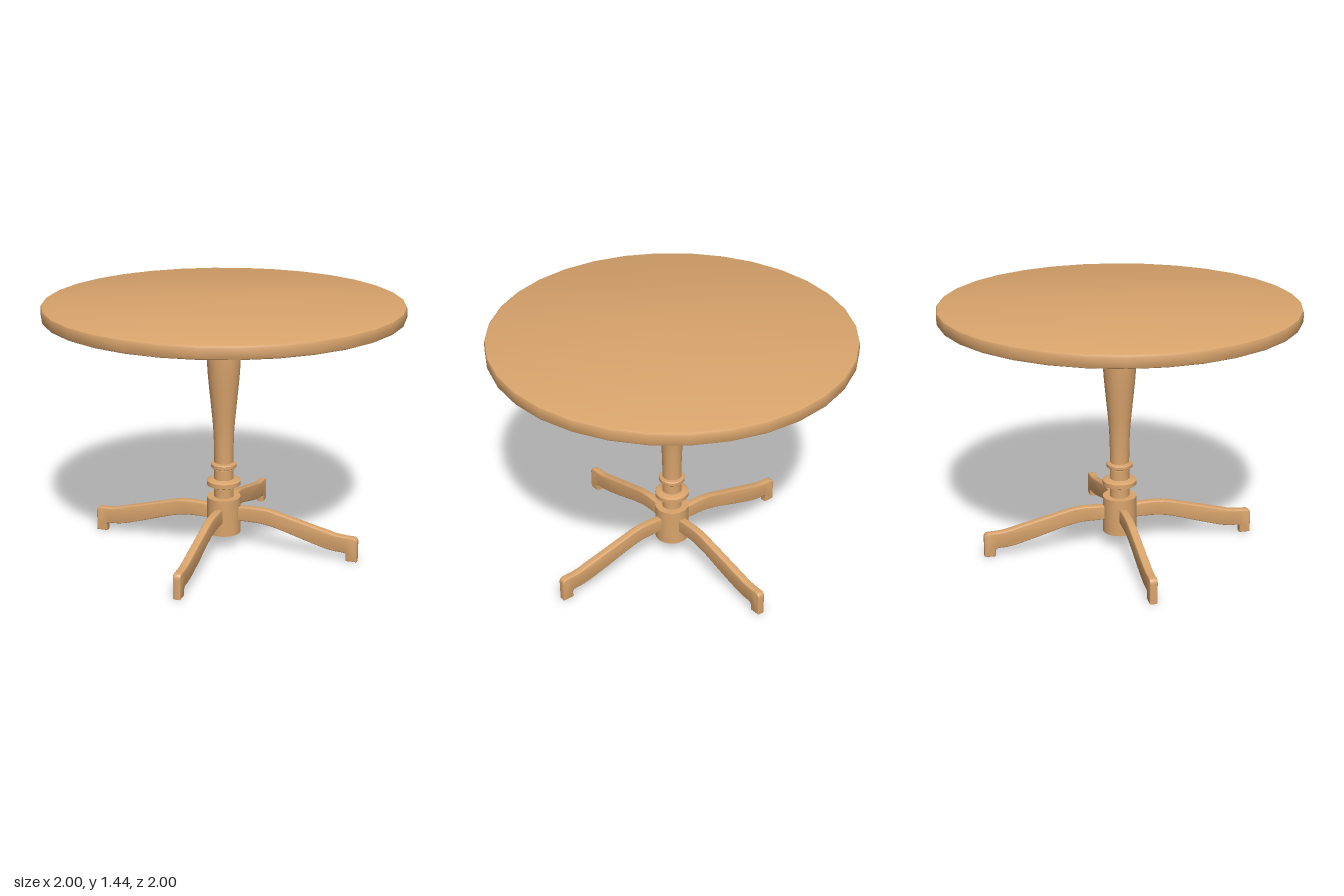
import * as THREE from 'three';
import { toCreasedNormals } from 'three/addons/utils/BufferGeometryUtils.js';

const wood = new THREE.MeshStandardMaterial({ color: 0xd9a46c });

// Turned part from [radius, height] points, listed bottom to top
function turned(name, profile, segments = 32) {
  const points = profile.map(([r, y]) => new THREE.Vector2(r, y));
  const geometry = toCreasedNormals(new THREE.LatheGeometry(points, segments), 0.7);
  const mesh = new THREE.Mesh(geometry, wood);
  mesh.name = name;
  return mesh;
}

// Smooth vase-shaped shaft of the column
function shaftProfile() {
  const curve = new THREE.SplineCurve([
    [0.055, 0.51], [0.056, 0.6], [0.061, 0.72], [0.075, 0.87], [0.09, 1.03],
    [0.095, 1.15], [0.086, 1.27], [0.066, 1.37],
  ].map(([r, y]) => new THREE.Vector2(r, y)));
  return [[0, 0.51], ...curve.getPoints(24).map((p) => [p.x, p.y]), [0, 1.37]];
}

// Side outline of a leg: x runs outward from the column
function legGeometry() {
  const s = new THREE.Shape();
  s.moveTo(0.06, 0.165);
  s.lineTo(0.19, 0.165);
  s.bezierCurveTo(0.3, 0.165, 0.4, 0.115, 0.6, 0.063);
  s.quadraticCurveTo(0.65, 0.05, 0.7, 0.05);
  s.quadraticCurveTo(0.728, 0.05, 0.728, 0.035);
  s.lineTo(0.728, 0);
  s.lineTo(0.792, 0);
  s.lineTo(0.792, 0.115);
  s.quadraticCurveTo(0.792, 0.143, 0.762, 0.143);
  s.quadraticCurveTo(0.68, 0.143, 0.63, 0.16);
  s.lineTo(0.34, 0.232);
  s.quadraticCurveTo(0.27, 0.253, 0.2, 0.253);
  s.quadraticCurveTo(0.12, 0.253, 0.06, 0.243);
  s.closePath();
  const thickness = 0.044, bevel = 0.007;
  const geometry = new THREE.ExtrudeGeometry(s, {
    depth: thickness - 2 * bevel, curveSegments: 8,
    bevelThickness: bevel, bevelSize: bevel, bevelOffset: -bevel, bevelSegments: 3,
  });
  geometry.translate(0, 0, bevel - thickness / 2);
  return toCreasedNormals(geometry, 0.7);
}

export function createModel() {
  const table = new THREE.Group();
  table.name = 'pedestalTable';

  // Round top with softened edges
  table.add(turned('tableTop', [
    [0, 1.365], [0.985, 1.365], [0.996, 1.37], [1, 1.38],
    [1, 1.425], [0.996, 1.435], [0.985, 1.44], [0, 1.44],
  ]));

  // Column: shaft, rings and hub
  table.add(turned('shaft', shaftProfile()));
  table.add(turned('upperNeck', [[0, 0.46], [0.032, 0.46], [0.032, 0.52], [0, 0.52]]));
  table.add(turned('upperRing', [
    [0, 0.478], [0.07, 0.478], [0.074, 0.482], [0.074, 0.5], [0.07, 0.504], [0, 0.504],
  ]));
  table.add(turned('lowerNeck', [[0, 0.29], [0.056, 0.29], [0.056, 0.468], [0, 0.468]]));
  table.add(turned('lowerRing', [
    [0, 0.365], [0.075, 0.365], [0.097, 0.375], [0.097, 0.4], [0.075, 0.41], [0, 0.41],
  ]));
  table.add(turned('hub', [[0, 0.085], [0.097, 0.085], [0.097, 0.302], [0, 0.302]]));

  // Four curved legs on the diagonals
  const geometry = legGeometry();
  for (let i = 0; i < 4; i++) {
    const leg = new THREE.Mesh(geometry, wood);
    leg.name = `leg${i + 1}`;
    leg.rotation.y = Math.PI / 4 + i * Math.PI / 2;
    table.add(leg);
  }
  return table;
}
